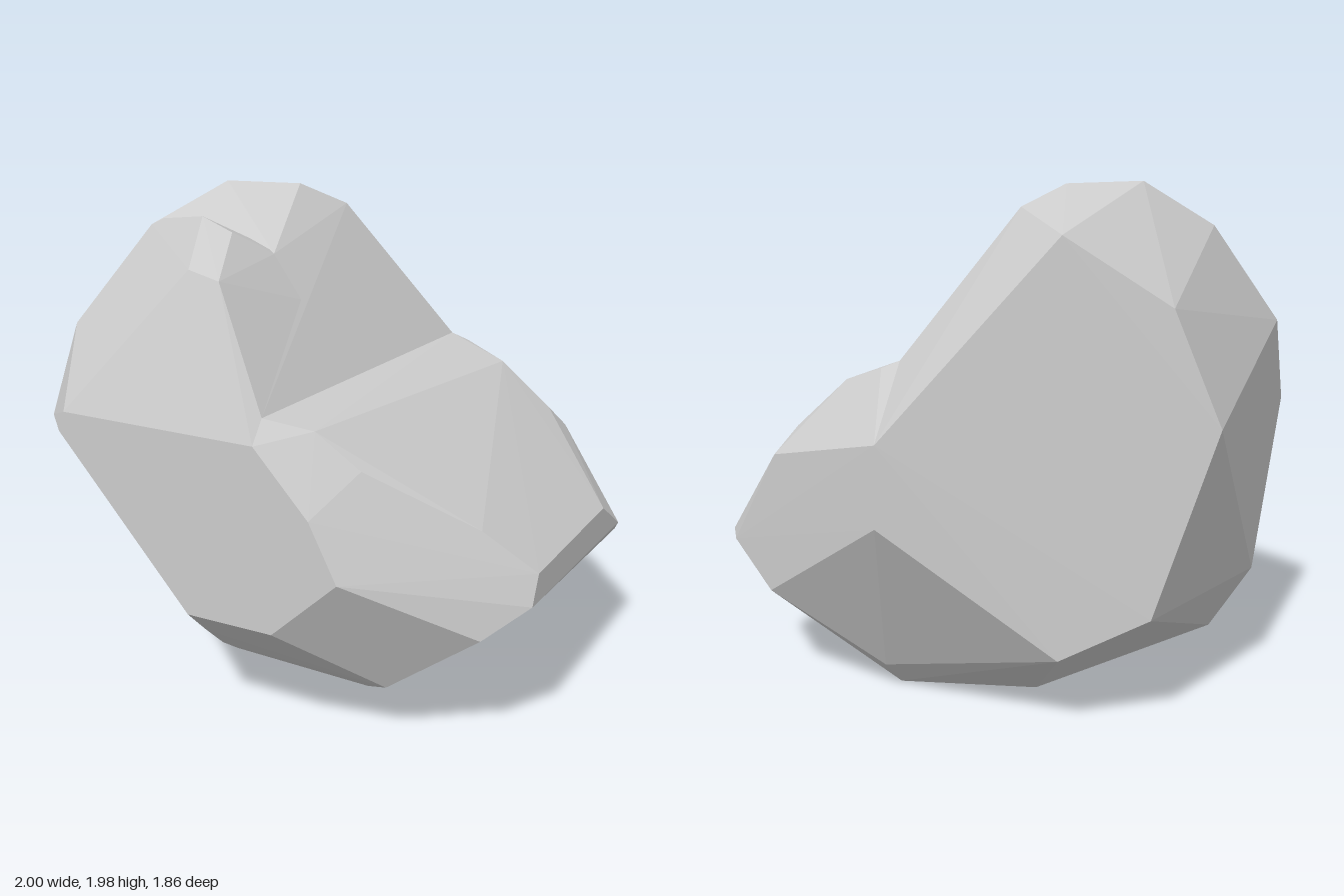
import * as THREE from 'three';
import { ConvexGeometry } from 'three/addons/geometries/ConvexGeometry.js';

// Corner groups shared between neighbouring chunks, so their edges meet.
// Flat base and the rim just above it
const base = [
  [-0.39, 0, 0.31], [-0.39, 0, 0.1], [-0.27, 0, -0.33], [0.25, 0, -0.49], [0.26, 0, 0.31],
  [-0.28, 0.17, 0.56], [-0.2, 0.34, 0.77], [-0.85, 0.2, 0.11], [-0.5, 0.28, -0.69],
];
// Left flank, low front and back corner
const flank = [
  [-1, 0.44, 0.19], [-1, 1.07, 0.69], [-0.74, 1.1, 0.925], [-1, 1.11, -0.41],
  [-0.8, 0.43, -0.55], [0.1, 0.76, -0.93], [0.1, 1.06, -0.92], [-0.16, 0.48, 0.925],
];
// Groove between the steep slope and the ledge
const groove = [[0.15, 1.18, 0.925], [0.14, 1.26, 0.85], [0.2, 1.31, -0.55]];
// Step in the summit where the front crag breaks away
const notch = [[-0.78, 1.81, 0.28], [-0.14, 1.74, 0.34], [-1, 1.42, 0.52]];

// Ledge sloping down to the blunt right edge
const ledge = [
  [0.27, 1.28, -0.57], [0.46, 1.22, -0.51], [0.66, 1.03, -0.56], [0.7, 0.93, -0.67],
  [0.31, 1.22, 0.78], [0.47, 1.09, 0.74], [0.82, 0.86, 0.5],
  [1, 0.7, 0.4], [1, 0.59, 0.45], [1, 0.71, -0.32], [1, 0.57, -0.55], [0.98, 0.53, -0.57],
  [0.37, 0.95, 0.925], [0.48, 0.74, 0.925], [0.21, 0.49, 0.925],
  [0.87, 0.49, 0.6], [0.52, 0.23, 0.64], [0.74, 0.37, -0.67], [0.27, 0.1, -0.58],
];
// Highest ridge, behind the notch
const crest = [
  [-0.55, 1.98, 0.06], [-0.28, 1.97, -0.07], [-0.17, 1.88, -0.26], [-0.2, 1.82, 0.14],
  [-0.47, 1.78, -0.6], [-0.83, 1.53, -0.45],
];
// Lower peak, in front of the notch
const crag = [
  [-0.7, 1.84, 0.3], [-0.38, 1.88, 0.46], [-0.23, 1.83, 0.48],
  [-0.26, 1.72, 0.71], [-0.12, 1.69, 0.72], [-0.03, 1.46, 0.81], [-0.71, 1.18, 0.925],
];

export function createModel() {
  const rock = new THREE.Group();
  rock.name = 'rock';
  const material = new THREE.MeshStandardMaterial({ color: 0xcccccc, flatShading: true });

  // Each chunk is the convex solid wrapped around its corners
  const addChunk = (name, ...groups) => {
    const points = groups.flat().map((p) => new THREE.Vector3(...p));
    const mesh = new THREE.Mesh(new ConvexGeometry(points), material);
    mesh.name = name;
    rock.add(mesh);
  };

  addChunk('lowerBoulder', base, flank, groove, ledge);
  addChunk('upperCrest', base, flank, groove, notch, crest);
  addChunk('frontCrag', flank, groove, notch, crag);
  return rock;
}
